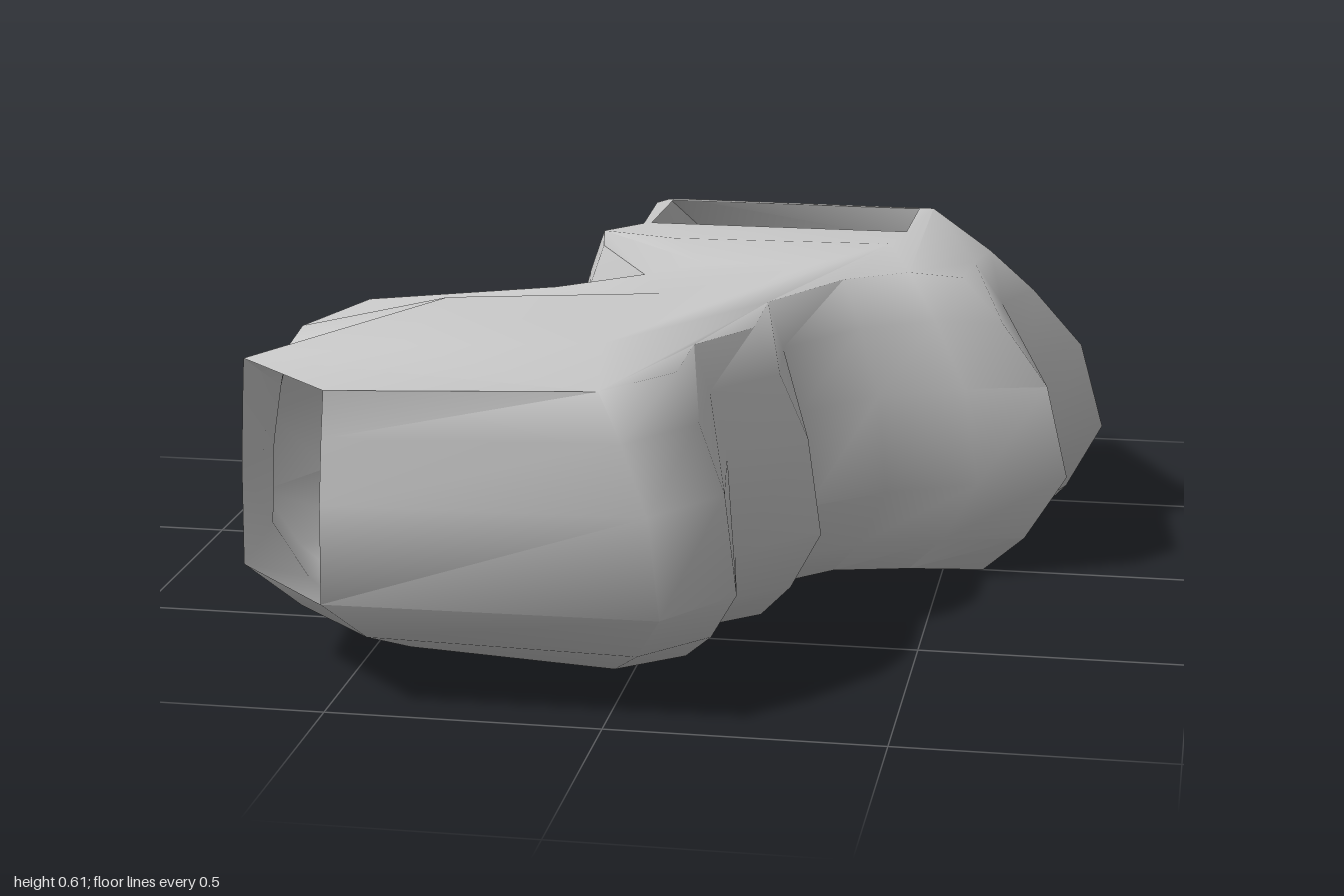
import * as THREE from 'three';
import { toCreasedNormals } from 'three/addons/utils/BufferGeometryUtils.js';

// Each row: widest outline x, z, then the matching point x, z on the top rim.
const outline = [
  [-0.12, -1.0, -0.14, -0.71], [0.47, -0.73, 0.4, -0.7], [0.79, -0.39, 0.55, -0.38],
  [0.68, -0.23, 0.53, -0.23], [0.74, 0.0, 0.52, -0.06], [0.57, 0.08, 0.42, -0.01],
  [0.4, 0.16, 0.3, 0.07], [0.26, 0.28, 0.18, 0.26], [0.31, 0.45, 0.18, 0.44],
  [0.17, 0.59, 0.09, 0.57], [0.21, 0.83, 0.09, 0.76], [0.1, 0.99, -0.02, 0.91],
  [-0.5, 1.0, -0.49, 0.98], [-0.7, 0.8, -0.69, 0.79], [-0.72, 0.55, -0.68, 0.55],
  [-0.8, 0.35, -0.7, 0.38], [-0.72, 0.18, -0.61, 0.22], [-0.25, 0.17, -0.24, 0.21],
  [-0.13, 0.09, -0.09, 0.09], [-0.3, -0.16, -0.22, -0.16], [-0.33, -0.33, -0.25, -0.32],
  [-0.2, -0.44, -0.185, -0.42], [-0.27, -0.67, -0.2, -0.66], [-0.14, -0.83, -0.18, -0.705],
];

// Rectangular opening in the top, and the chamfered corner left open at the front
const opening = [[-0.17, -0.69], [0.37, -0.69], [0.37, -0.43], [-0.17, -0.43]];
const openCorner = 12;

// Slightly raised crowns on the two lobes
const crowns = [
  { y: 0.61, points: [[-0.08, -0.2], [0.36, -0.22], [0.24, -0.02], [0.02, 0.02]] },
  { y: 0.605, points: [[-0.42, 0.36], [-0.02, 0.26], [-0.06, 0.66], [-0.42, 0.74]] },
];

const { clamp, lerp, smoothstep } = THREE.MathUtils;

const topY = (x, z) => 0.583 + 0.018 * Math.exp(-((z / 0.45) ** 2))
  - 0.2 * Math.max(0, x - 0.43)
  - 0.14 * Math.max(0, -x - 0.35) * (1 - smoothstep(z, 0.5, 0.8));
const baseY = (z) => 0.035 * smoothstep(z, 0.03, 0.12) + 0.025 * smoothstep(z, 0.4, 0.85);

// Upper rings blend from the widest outline to the top rim
function upperRing(blend, rise) {
  return outline.map(([x, z, rx, rz]) => new THREE.Vector3(
    lerp(x, rx, blend), lerp(0.2, topY(rx, rz), rise), lerp(z, rz, blend)));
}

// Lower rings shrink towards the middle line joining the two lobes, most at the front left
function lowerRing(pull, rise) {
  return outline.map(([x, z]) => {
    const t = clamp((z + 0.3) / 0.85, 0, 1);
    const p = pull * (1 + smoothstep(z - 0.5 * x, 0.7, 1.3));
    return new THREE.Vector3(
      lerp(x, lerp(0.15, -0.25, t), p), lerp(baseY(z), 0.2, rise),
      lerp(z, lerp(-0.3, 0.55, t), p));
  });
}

// Cap over a ring, with optional holes
function cap(ring, holes, up, out) {
  const flat = (p) => new THREE.Vector2(p.x, p.z);
  const points = [...ring, ...holes.flat()];
  const faces = THREE.ShapeUtils.triangulateShape(
    ring.map(flat), holes.map((hole) => hole.map(flat)));
  for (const [i, j, k] of faces) {
    const [a, b, c] = [points[i], points[j], points[k]];
    const normalY = (b.z - a.z) * (c.x - a.x) - (b.x - a.x) * (c.z - a.z);
    if (normalY * up > 0) out.push(a, b, c);
    else out.push(a, c, b);
  }
}

export function createModel() {
  const rings = [
    lowerRing(0.22, 0),
    lowerRing(0.11, 0.35),
    upperRing(0, 0),
    upperRing(0.2, 0.47),
    upperRing(0.62, 0.78),
    upperRing(1, 1),
  ];
  const corners = [];

  // Walls between neighbouring rings
  for (let r = 0; r < rings.length - 1; r++) {
    const [low, high] = [rings[r], rings[r + 1]];
    for (let i = 0; i < low.length; i++) {
      if (i === openCorner && r >= 2) continue;
      const n = (i + 1) % low.length;
      corners.push(low[n], low[i], high[i], low[n], high[i], high[n]);
    }
  }

  // Underside
  cap(rings[0], [], -1, corners);

  // Top around the opening, rising to the crowns
  const rim = opening.map(([x, z]) => new THREE.Vector3(x, topY(x, z), z));
  const plateaus = crowns.map(({ y, points }) =>
    points.map(([x, z]) => new THREE.Vector3(x, y, z)));
  cap(rings[rings.length - 1], [rim, ...plateaus], 1, corners);
  for (const plateau of plateaus) cap(plateau, [], 1, corners);

  const geometry = toCreasedNormals(new THREE.BufferGeometry().setFromPoints(corners), 1.15);
  const material = new THREE.MeshStandardMaterial({ color: 0xcccccc, side: THREE.DoubleSide });
  const shell = new THREE.Mesh(geometry, material);
  shell.name = 'rockShell';

  const group = new THREE.Group();
  group.name = 'rock';
  group.add(shell);
  return group;
}
